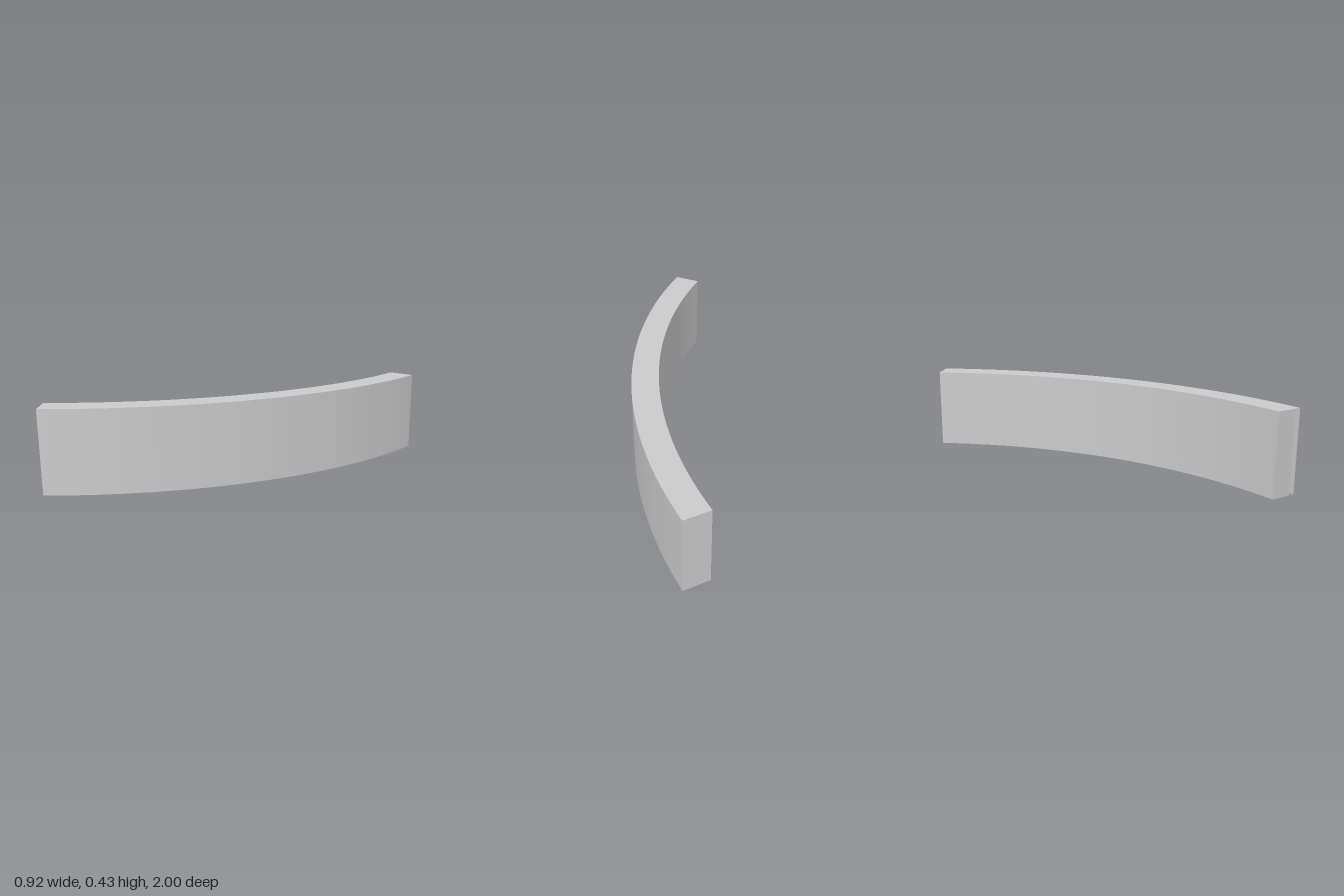
import * as THREE from 'three';
import { toCreasedNormals } from 'three/addons/utils/BufferGeometryUtils.js';

const CX = -2.05, CZ = -0.865;                 // centre of the bend
const R0 = 2.37, R1 = 2.51;                    // concave and convex faces
const A0 = -0.0537, A1 = 0.838;                // bend angles of the two ends
const HOLE = { r0: 2.395, r1: 2.485, a0: A0 + 0.03, a1: A1 - 0.018 };
const TOP = 0.43, ROOF = 0.42, RIM = 0.004;

const at = (r, a) => [CX + r * Math.cos(a), CZ + r * Math.sin(a)];

// Closed curved strip between two radii and two angles
function strip(path, r0, r1, a0, a1) {
  path.moveTo(...at(r1, a0));
  path.absarc(CX, CZ, r1, a0, a1, false);
  path.lineTo(...at(r0, a1));
  path.absarc(CX, CZ, r0, a1, a0, true);
  path.closePath();
  return path;
}

// Extrude a plan outline from yTop down to yBottom, leaning the +z end inward
function slab(name, shape, yTop, yBottom, material) {
  let geo = new THREE.ExtrudeGeometry(shape, { depth: yTop - yBottom, bevelEnabled: false, curveSegments: 24 });
  geo.rotateX(Math.PI / 2).translate(0, yTop, 0);
  const p = geo.attributes.position;
  for (let i = 0; i < p.count; i++) {
    const a = Math.atan2(p.getZ(i) - CZ, p.getX(i) - CX);
    if (a < A1 - 0.01) continue;
    const d = 0.01 * (1 - p.getY(i) / TOP);
    p.setX(i, p.getX(i) + d * Math.sin(A1));
    p.setZ(i, p.getZ(i) - d * Math.cos(A1));
  }
  geo = toCreasedNormals(geo, 0.5);
  const mesh = new THREE.Mesh(geo, material);
  mesh.name = name;
  return mesh;
}

export function createModel() {
  const group = new THREE.Group();
  group.name = 'curvedChannelBlock';
  const material = new THREE.MeshStandardMaterial({ color: 0xcccccc, side: THREE.DoubleSide });

  // Solid top plate
  group.add(slab('topPlate', strip(new THREE.Shape(), R0, R1, A0, A1), TOP, ROOF, material));

  // Walls round the hollow, with a narrow slot through the +z end
  const walls = new THREE.Shape();
  walls.moveTo(...at(R1, A0));
  walls.absarc(CX, CZ, R1, A0, A1, false);
  walls.lineTo(...at(2.504, A1));
  walls.lineTo(...at(2.504, HOLE.a1));
  walls.lineTo(...at(HOLE.r1, HOLE.a1));
  walls.absarc(CX, CZ, HOLE.r1, HOLE.a1, HOLE.a0, true);
  walls.lineTo(...at(HOLE.r0, HOLE.a0));
  walls.absarc(CX, CZ, HOLE.r0, HOLE.a0, HOLE.a1, false);
  walls.lineTo(...at(2.478, HOLE.a1));
  walls.lineTo(...at(2.478, A1));
  walls.lineTo(...at(R0, A1));
  walls.absarc(CX, CZ, R0, A1, A0, true);
  walls.closePath();
  group.add(slab('walls', walls, ROOF, RIM, material));

  // Thin lip round the mouth of the hollow
  const lip = strip(new THREE.Shape(), HOLE.r0 - 0.006, HOLE.r1 + 0.006, HOLE.a0 - 0.003, HOLE.a1 + 0.003);
  lip.holes.push(strip(new THREE.Path(), HOLE.r0, HOLE.r1, HOLE.a0, HOLE.a1));
  group.add(slab('bottomLip', lip, RIM, 0, material));
  return group;
}
